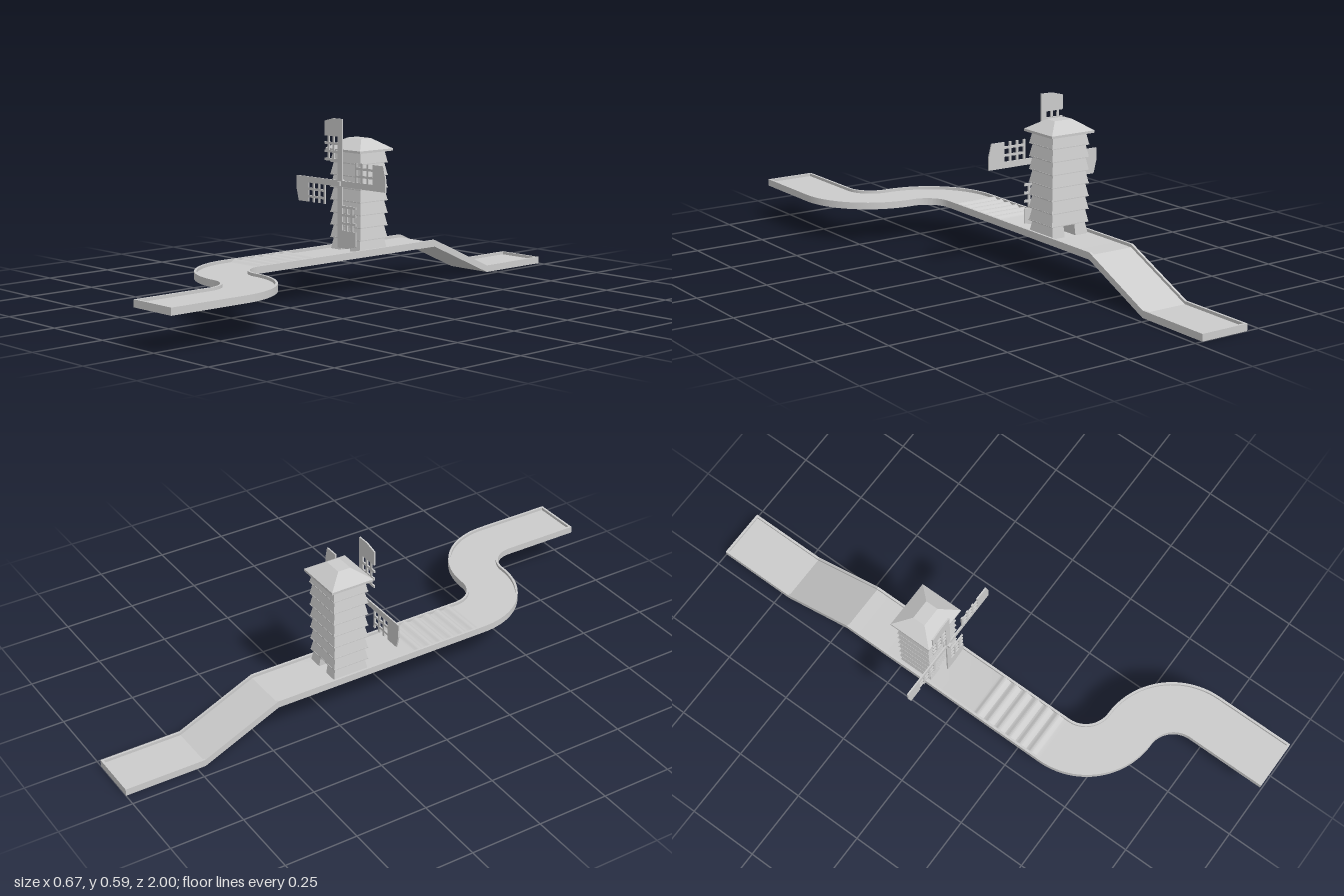
import * as THREE from 'three';
import { toCreasedNormals } from 'three/addons/utils/BufferGeometryUtils.js';

const mat = new THREE.MeshStandardMaterial({ color: 0xcccccc });
const CX = -0.116, CZ = -0.168;          // tower axis
const W = 0.0885, H = 0.024, T = 0.008, FLOOR = 0.014, R = 0.181; // lane section and bend radius
const DECK = 0.122;                      // underside of the raised lane

function add(parent, name, geo, x = 0, y = 0, z = 0) {
  const m = new THREE.Mesh(geo, mat);
  m.name = name;
  m.position.set(x, y, z);
  parent.add(m);
  return m;
}

// Four-sided frustum standing on y = 0
function frustum(bw, bd, tw, td, h) {
  const g = new THREE.BoxGeometry(bw, h, bd).toNonIndexed();
  g.translate(0, h / 2, 0);
  const p = g.attributes.position;
  for (let i = 0; i < p.count; i++) {
    if (p.getY(i) > h / 2) p.setXYZ(i, p.getX(i) * tw / bw, h, p.getZ(i) * td / bd);
  }
  g.computeVertexNormals();
  return g;
}

// Stations along the lane: position, heading angle from +z toward +x, floor bump
function laneStations() {
  const s = [];
  const put = (x, z, y, a = 0, bump = 0) => s.push({ x, z, y, a, bump });
  put(CX, -0.996, 0);
  put(CX, -0.72, 0);
  put(CX, -0.45, DECK);
  const n = 60, z0 = 0.075, z1 = 0.34;
  for (let i = 0; i <= n; i++) {
    const t = i / n;
    put(CX, z0 + (z1 - z0) * t, DECK, 0, 0.0045 * (1 - Math.cos(t * 12 * Math.PI)));
  }
  const mx = CX + R, zA = 0.355, zB = zA + 2 * R, k = 24;
  for (let i = 0; i <= k; i++) {
    const a = i / k * Math.PI / 2;
    put(mx - R * Math.cos(a), zA + R * Math.sin(a), DECK, a);
  }
  for (let i = 1; i <= k; i++) {
    const a = (1 - i / k) * Math.PI / 2;
    put(mx + R * Math.cos(a), zB - R * Math.sin(a), DECK, a);
  }
  put(mx + R, 0.996, DECK);
  return s;
}

// Sweep the U-shaped lane section through the stations
function laneGeometry(stations) {
  const rings = stations.map(({ x, z, y, a, bump }) => {
    const f = FLOOR + bump, i = W - T;
    return [[-W, 0], [W, 0], [W, H], [i, H], [i, f], [-i, f], [-i, H], [-W, H]]
      .map(([u, v]) => [x + u * Math.cos(a), y + v, z - u * Math.sin(a)]);
  });
  const pos = [];
  for (let r = 0; r < rings.length - 1; r++) {
    const A = rings[r], B = rings[r + 1];
    for (let j = 0; j < 8; j++) {
      const k = (j + 1) % 8;
      pos.push(...A[j], ...A[k], ...B[k], ...A[j], ...B[k], ...B[j]);
    }
  }
  const g = new THREE.BufferGeometry();
  g.setAttribute('position', new THREE.Float32BufferAttribute(pos, 3));
  g.computeVertexNormals();
  return toCreasedNormals(g, 0.35);
}

function createLane() {
  const lane = new THREE.Group();
  lane.name = 'lane';
  add(lane, 'laneTrack', laneGeometry(laneStations()));
  // end boards
  const board = new THREE.BoxGeometry(2 * W, H, T);
  add(lane, 'lowEndBoard', board, CX, H / 2, -1 + T / 2);
  add(lane, 'highEndBoard', board, CX + 2 * R, DECK + H / 2, 1 - T / 2);
  return lane;
}

function createTower() {
  const tower = new THREE.Group();
  tower.name = 'tower';
  tower.position.set(CX, 0, CZ);
  const step = 0.0433, base = 0.175, lip = 0.003;
  // overlapping flared courses
  for (let i = 0; i < 7; i++) {
    const y = base + i * step;
    add(tower, 'courseLip', frustum(0.15, 0.13, 0.15, 0.13, lip), 0, y, 0);
    add(tower, 'course', frustum(0.148, 0.128, 0.132, 0.112, step - lip), 0, y + lip, 0);
  }
  // two legs either side of the ball tunnel, tapered on their outer faces
  const legH = 0.042, y0 = 0.134;
  for (const s of [-1, 1]) {
    const g = new THREE.BoxGeometry(0.051, legH, 0.128).toNonIndexed();
    g.translate(s * 0.0475, legH / 2, 0);
    const p = g.attributes.position;
    for (let i = 0; i < p.count; i++) {
      if (p.getY(i) < legH / 2) continue;
      if (Math.abs(p.getX(i)) > 0.05) p.setX(i, s * 0.065);
      p.setZ(i, p.getZ(i) * 0.88);
    }
    g.computeVertexNormals();
    add(tower, 'leg', g, 0, y0, 0);
  }
  // hipped roof with a flat top
  add(tower, 'eaves', frustum(0.172, 0.154, 0.172, 0.154, 0.008), 0, 0.475, 0);
  add(tower, 'roof', frustum(0.172, 0.154, 0.07, 0.045, 0.035), 0, 0.483, 0);
  return tower;
}

// One sail along +x: arm, lattice and solid cut-corner tip
function createSail() {
  const sail = new THREE.Group();
  sail.name = 'sail';
  const d = 0.005, top = 0.077;
  const bar = (name, x0, x1, yA, yB) => add(sail, name,
    new THREE.BoxGeometry(x1 - x0, yB - yA, d), (x0 + x1) / 2, (yA + yB) / 2, 0);
  bar('arm', 0, 0.161, -0.0105, 0.0105);
  for (const x of [0.074, 0.102, 0.13]) bar('crossSlat', x, x + 0.0085, 0.01, top);
  for (const y of [0.028, 0.054]) bar('longSlat', 0.074, 0.161, y, y + 0.008);
  const shape = new THREE.Shape([[0.159, -0.0105], [0.22, -0.0105], [0.22, 0.034], [0.209, top], [0.159, top]]
    .map(([x, y]) => new THREE.Vector2(x, y)));
  const tip = new THREE.ExtrudeGeometry(shape, { depth: d, bevelEnabled: false });
  add(sail, 'sailTip', tip, 0, 0, -d / 2);
  return sail;
}

function createRotor() {
  const rotor = new THREE.Group();
  rotor.name = 'rotor';
  rotor.position.set(CX, 0.368, -0.081);
  for (let i = 0; i < 4; i++) {
    const sail = createSail();
    sail.rotation.z = i * Math.PI / 2;
    rotor.add(sail);
  }
  // hub and axle
  const disc = new THREE.CylinderGeometry(0.015, 0.015, 0.01, 8).rotateX(Math.PI / 2).rotateZ(Math.PI / 8);
  add(rotor, 'hub', disc, 0, 0, -0.006);
  add(rotor, 'hubCap', new THREE.BoxGeometry(0.014, 0.014, 0.014), 0, 0, 0.004);
  add(rotor, 'axle', new THREE.BoxGeometry(0.012, 0.012, 0.035), 0, 0, -0.018);
  return rotor;
}

export function createModel() {
  const model = new THREE.Group();
  model.name = 'windmillGolfHole';
  model.add(createLane(), createTower(), createRotor());
  return model;
}
